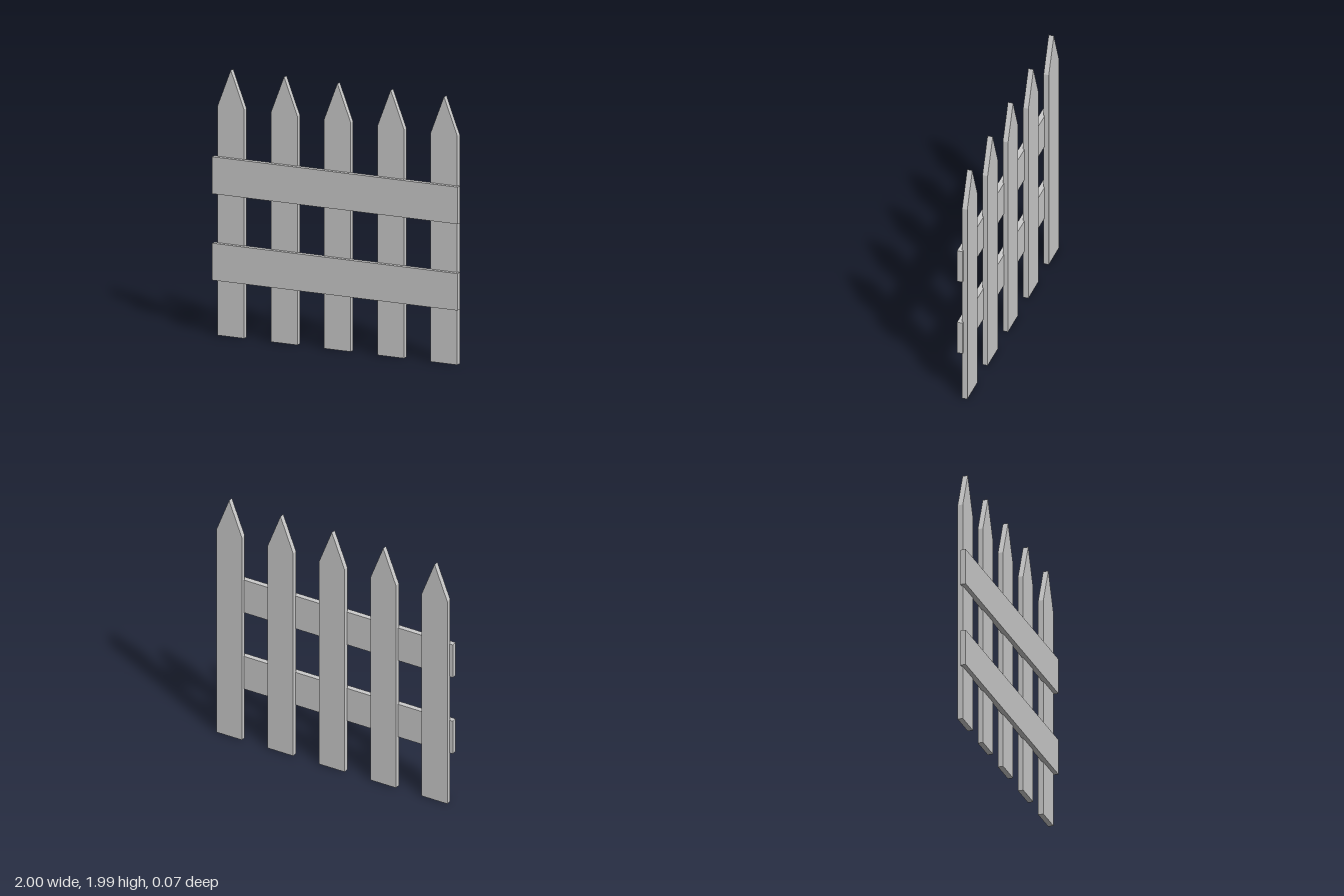
import * as THREE from 'three';

export function createModel() {
  const group = new THREE.Group();
  group.name = 'picketFence';
  const material = new THREE.MeshStandardMaterial({ color: 0xcccccc, flatShading: true });

  // Pickets: flat boards with pointed tops, standing behind the rails
  const half = 0.108, shoulder = 1.71, tip = 1.99, thickness = 0.04;
  const outline = new THREE.Shape([
    new THREE.Vector2(-half, 0),
    new THREE.Vector2(half, 0),
    new THREE.Vector2(half, shoulder),
    new THREE.Vector2(0, tip),
    new THREE.Vector2(-half, shoulder),
  ]);
  const picketGeometry = new THREE.ExtrudeGeometry(outline, { depth: thickness, bevelEnabled: false });
  for (let i = 0; i < 5; i++) {
    const picket = new THREE.Mesh(picketGeometry, material);
    picket.name = `picket${i + 1}`;
    picket.position.set(0.005 + (i - 2) * 0.4345, 0, -0.036);
    group.add(picket);
  }

  // Rails: two horizontal boards across the front, let slightly into the pickets
  const railGeometry = new THREE.BoxGeometry(2, 0.276, 0.041);
  for (const [name, y] of [['lowerRail', 0.553], ['upperRail', 1.198]]) {
    const rail = new THREE.Mesh(railGeometry, material);
    rail.name = name;
    rail.position.set(0, y, 0.0155);
    group.add(rail);
  }

  return group;
}
